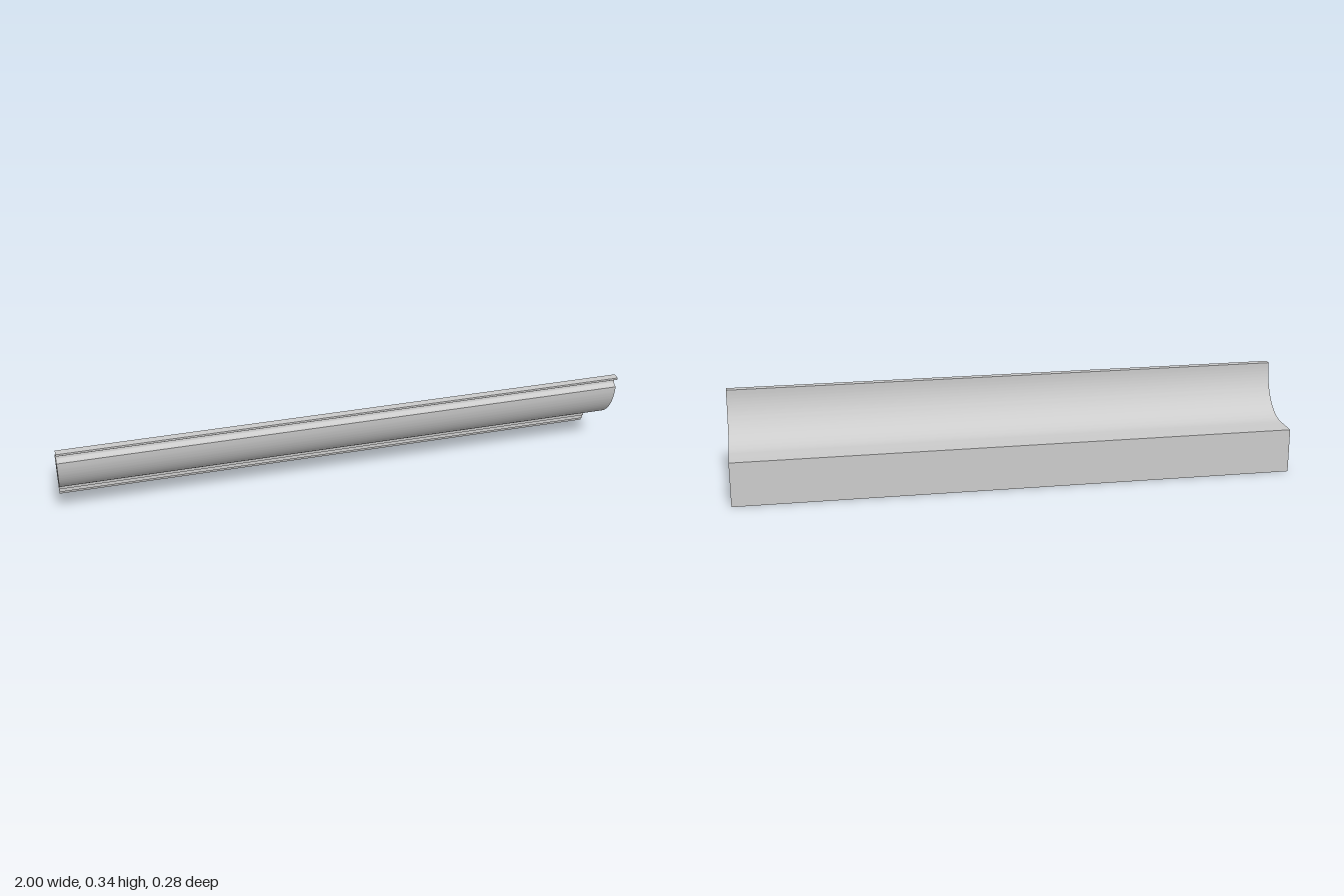
import * as THREE from 'three';
import { toCreasedNormals } from 'three/addons/utils/BufferGeometryUtils.js';

const LENGTH = 2;

// Moulding cross-section: shape x is depth (front positive), shape y is height
function mouldingProfile() {
  const s = new THREE.Shape();
  // flat back and top ledge
  s.moveTo(-0.145, 0);
  s.lineTo(-0.145, 0.16);
  s.lineTo(-0.05, 0.16);
  // inner trough sweeping up to the lip
  s.absellipse(-0.05, 0.33, 0.158, 0.17, -Math.PI / 2, 0, false);
  s.lineTo(0.108, 0.342);
  s.lineTo(0.134, 0.342);
  s.lineTo(0.134, 0.335);
  // bead below the lip
  s.absarc(0.127, 0.319, 0.0185, 1.1, Math.PI * 1.5, false);
  // outer cove sweeping back down to the wall plate
  s.absellipse(-0.07, 0.31, 0.197, 0.197, -0.05, -Math.PI / 2, true);
  s.lineTo(-0.104, 0.113);
  s.lineTo(-0.104, 0.104);
  // half-round bead
  s.absarc(-0.098, 0.085, 0.019, Math.PI / 2, -Math.PI / 2, false);
  s.lineTo(-0.104, 0.066);
  // two small stepped coves
  s.lineTo(-0.104, 0.055);
  s.quadraticCurveTo(-0.114, 0.053, -0.114, 0.041);
  s.lineTo(-0.114, 0.03);
  s.lineTo(-0.12, 0.03);
  s.lineTo(-0.12, 0.014);
  s.quadraticCurveTo(-0.13, 0.011, -0.13, 0);
  s.closePath();
  return s;
}

export function createModel() {
  const group = new THREE.Group();
  group.name = 'corniceMoulding';

  const extruded = new THREE.ExtrudeGeometry(mouldingProfile(), {
    depth: LENGTH,
    bevelEnabled: false,
    curveSegments: 24,
  });
  // run the length along x, with the profile's depth along z
  extruded.translate(0, 0, -LENGTH / 2);
  extruded.rotateY(-Math.PI / 2);

  const moulding = new THREE.Mesh(
    toCreasedNormals(extruded, Math.PI / 6),
    new THREE.MeshStandardMaterial({ color: 0xcccccc })
  );
  moulding.name = 'moulding';
  group.add(moulding);
  return group;
}
